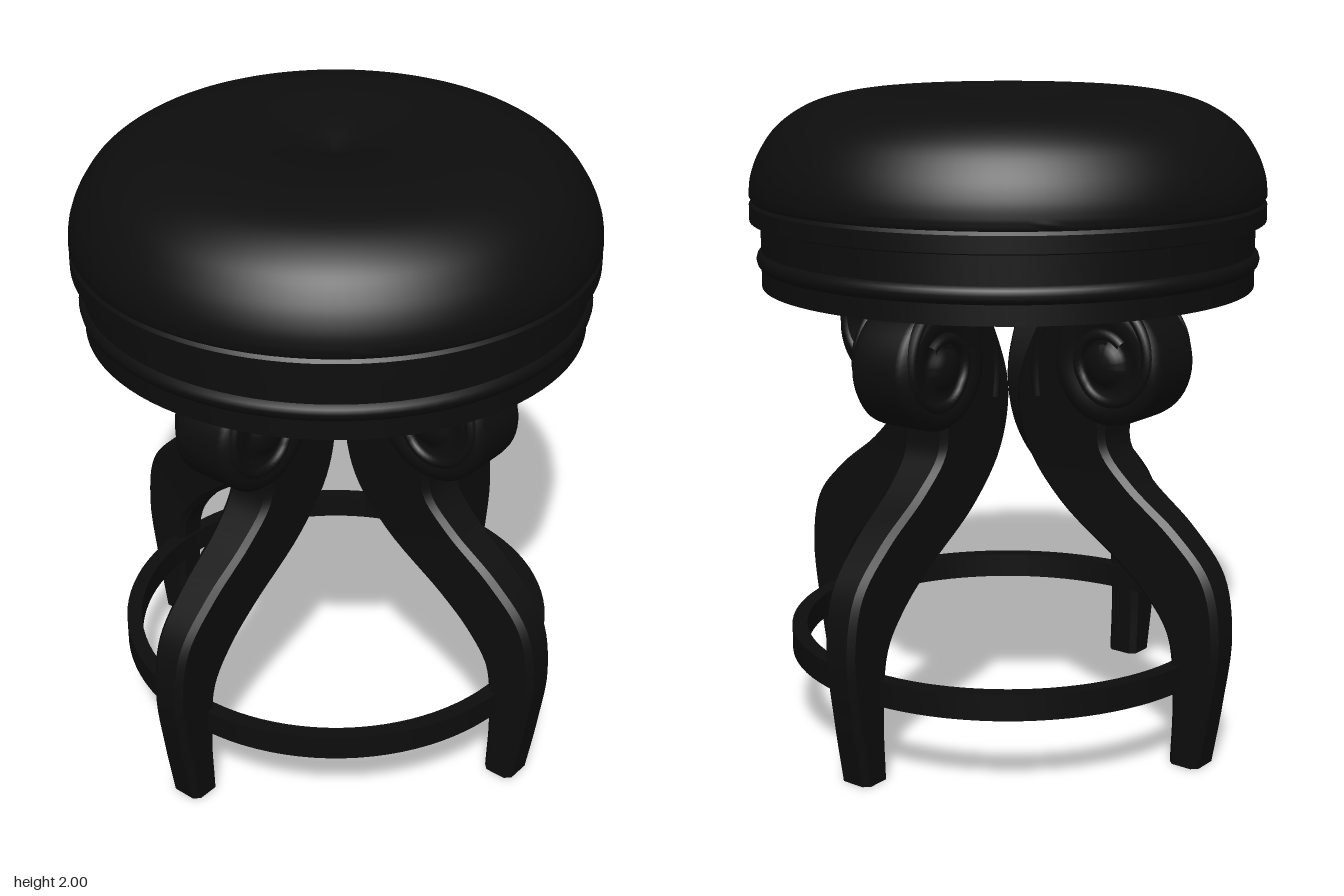
import * as THREE from 'three';
import { toCreasedNormals } from 'three/addons/utils/BufferGeometryUtils.js';

const material = new THREE.MeshStandardMaterial({ color: 0x0d0d0d });
const BEVEL = 0.018;

function part(name, geometry) {
  const mesh = new THREE.Mesh(geometry, material);
  mesh.name = name;
  return mesh;
}

const v2 = (list) => list.map(([x, y]) => new THREE.Vector2(x, y));

function lathe(points, crease = 0.6, segments = 96) {
  return toCreasedNormals(new THREE.LatheGeometry(v2(points), segments), crease);
}

// Leg stations from foot to scroll: inner edge (r, y), outer edge (r, y), half width
const STATIONS = [
  [0.652, 0, 0.755, 0, 0.055],
  [0.657, 0.2, 0.79, 0.2, 0.055],
  [0.635, 0.4, 0.815, 0.42, 0.056],
  [0.56, 0.51, 0.78, 0.6, 0.06],
  [0.46, 0.6, 0.665, 0.73, 0.065],
  [0.245, 0.76, 0.51, 0.85, 0.072],
  [0.125, 0.92, 0.425, 0.95, 0.08],
  [0.095, 1.1, 0.42, 1.05, 0.088],
  [0.15, 1.26, 0.42, 1.15, 0.095],
  [0.22, 1.36, 0.42, 1.2, 0.1],
  [0.33, 1.405, 0.43, 1.22, 0.104],
  [0.45, 1.405, 0.44, 1.22, 0.106],
];

// Bevelled rectangular cross-sections lofted between the inner and outer edge
function legGeometry() {
  const inner = new THREE.CatmullRomCurve3(STATIONS.map((s) => new THREE.Vector3(s[0], s[1], s[4])));
  const outer = new THREE.CatmullRomCurve3(STATIONS.map((s) => new THREE.Vector3(s[2], s[3], s[4])));
  const steps = 66;
  const positions = [];
  const index = [];
  for (let j = 0; j <= steps; j++) {
    const a = inner.getPoint(j / steps);
    const b = outer.getPoint(j / steps);
    const w = a.z;
    const e = BEVEL / Math.hypot(b.x - a.x, b.y - a.y);
    const ring = [
      [e, w], [1 - e, w], [1, w - BEVEL], [1, BEVEL - w],
      [1 - e, -w], [e, -w], [0, BEVEL - w], [0, w - BEVEL],
    ];
    for (const [t, z] of ring) positions.push(a.x + (b.x - a.x) * t, a.y + (b.y - a.y) * t, z);
  }
  for (let j = 0; j < steps; j++) {
    for (let i = 0; i < 8; i++) {
      const p = j * 8 + i;
      const q = j * 8 + ((i + 1) % 8);
      index.push(p, q, q + 8, p, q + 8, p + 8);
    }
  }
  for (let i = 1; i < 7; i++) {
    index.push(0, i + 1, i, steps * 8, steps * 8 + i, steps * 8 + i + 1);
  }
  const geometry = new THREE.BufferGeometry();
  geometry.setAttribute('position', new THREE.Float32BufferAttribute(positions, 3));
  geometry.setIndex(index);
  return toCreasedNormals(geometry, 0.6);
}

// Rolled scroll end with a sunk ring and a raised eye on both faces
function scrollGeometry() {
  const half = [
    [0, 0.122], [0.03, 0.12], [0.055, 0.112], [0.065, 0.1], [0.08, 0.096],
    [0.1, 0.1], [0.12, 0.11], [0.15, 0.112], [0.175, 0.104], [0.188, 0.088], [0.19, 0.07],
  ];
  const profile = [...half.map(([r, h]) => [r, -h]), ...half.slice().reverse()];
  return lathe(profile, 0.9, 48).rotateX(Math.PI / 2);
}

// Raised edge that winds from the neck into the scroll eye
function voluteGeometry(side) {
  const points = [];
  for (let i = 0; i <= 48; i++) {
    const t = i / 48;
    const angle = Math.PI * (1.15 - 2.9 * t);
    const radius = 0.29 - 0.2 * Math.min(1, t * 1.5) ** 0.7;
    points.push(new THREE.Vector3(
      0.435 + radius * Math.cos(angle),
      1.22 + Math.min(0.165, radius * Math.sin(angle)),
      side * (0.082 + 0.022 * Math.min(1, t * 2.5)),
    ));
  }
  return new THREE.TubeGeometry(new THREE.CatmullRomCurve3(points), 80, 0.017, 8);
}

export function createModel() {
  const model = new THREE.Group();
  model.name = 'stool';

  // Seat: padded cushion with a central dimple, on a round apron
  const crown = new THREE.SplineCurve(v2([
    [0.79, 1.69], [0.783, 1.75], [0.755, 1.82], [0.7, 1.895], [0.61, 1.955], [0.5, 1.988],
    [0.38, 2], [0.25, 1.99], [0.13, 1.968], [0.05, 1.945], [0, 1.93],
  ])).getPoints(50).map((p) => [Math.max(0, p.x), p.y]);
  crown[crown.length - 1][0] = 0;
  model.add(part('cushion', lathe([
    [0, 1.61], [0.775, 1.61], [0.79, 1.615], [0.79, 1.665], [0.782, 1.675], ...crown,
  ])));
  model.add(part('apron', lathe([[0, 1.412], [0.757, 1.412], [0.757, 1.612], [0, 1.612]])));
  const bead = part('apronBead', new THREE.TorusGeometry(0.742, 0.03, 12, 96).rotateX(Math.PI / 2));
  bead.position.y = 1.497;
  model.add(bead);

  // Foot ring joining the legs
  model.add(part('footRing', lathe([
    [0.645, 0.238], [0.693, 0.238], [0.693, 0.318], [0.645, 0.318], [0.645, 0.238],
  ])));

  // Four scrolled legs on the diagonals
  const body = legGeometry();
  const scroll = scrollGeometry();
  const volutes = [voluteGeometry(1), voluteGeometry(-1)];
  for (let k = 0; k < 4; k++) {
    const leg = new THREE.Group();
    leg.name = `leg${k + 1}`;
    const roll = part('legScroll', scroll);
    roll.position.set(0.435, 1.22, 0);
    leg.add(part('legBody', body), roll, ...volutes.map((g) => part('legVolute', g)));
    leg.rotation.y = Math.PI / 4 + (k * Math.PI) / 2;
    model.add(leg);
  }
  return model;
}
